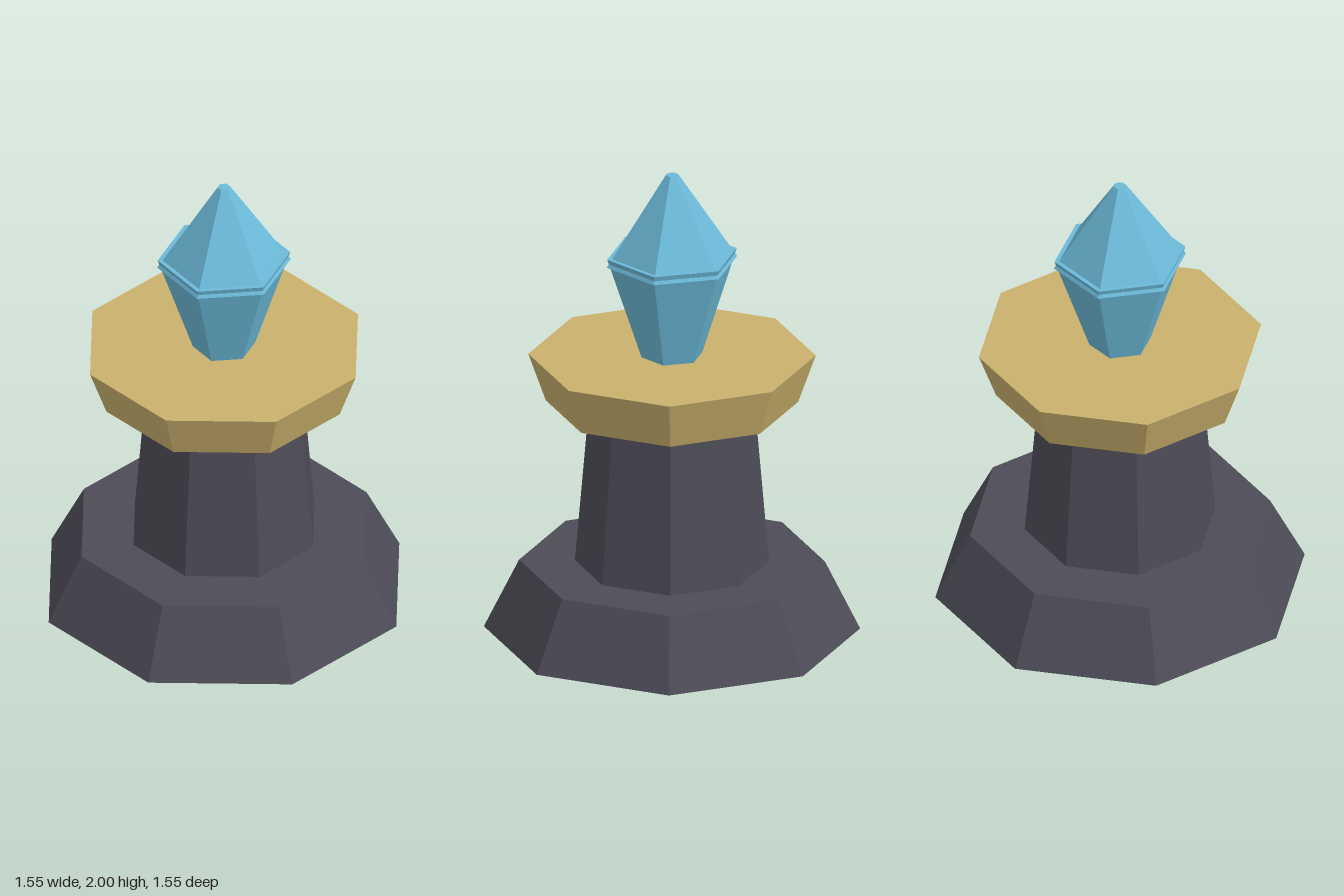
import * as THREE from 'three';

export function createModel() {
  const model = new THREE.Group();

  const material = (name, color) => {
    const m = new THREE.MeshStandardMaterial({ color, flatShading: true });
    m.name = name;
    return m;
  };
  const stone = material('dark stone', 0x4d4c57);
  const gold = material('dull gold', 0xc8b06c);
  const crystal = material('blue crystal', 0x6bb9d8);

  // Tapered prism between two heights, with a corner facing +z
  const prism = (name, mat, sides, y0, y1, rBottom, rTop) => {
    const geometry = new THREE.CylinderGeometry(rTop, rBottom, y1 - y0, sides);
    const mesh = new THREE.Mesh(geometry, mat);
    mesh.name = name;
    mesh.position.y = (y0 + y1) / 2;
    model.add(mesh);
  };

  // Octagonal pedestal
  prism('base', stone, 8, 0, 0.295, 0.775, 0.63);
  prism('column', stone, 8, 0.295, 1.0, 0.4, 0.34);
  prism('platform', gold, 8, 1.0, 1.205, 0.52, 0.592);

  // Hexagonal crystal: the cap sinks into the body, leaving a double rim
  prism('crystalBody', crystal, 6, 1.205, 1.65, 0.129, 0.275);
  prism('crystalCap', crystal, 6, 1.615, 2.0, 0.277, 0.027);

  return model;
}
